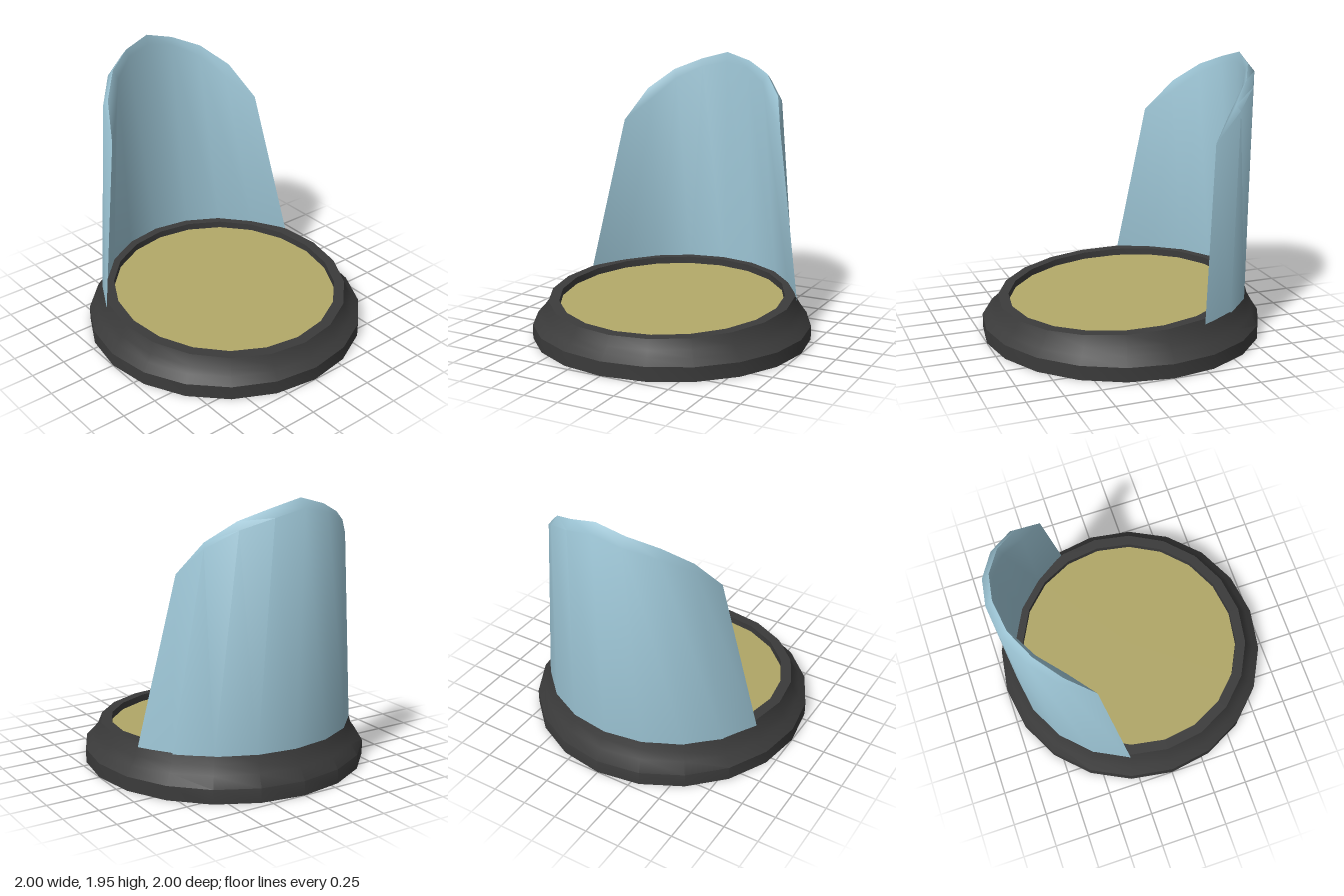
import * as THREE from 'three';
import { toCreasedNormals } from 'three/addons/utils/BufferGeometryUtils.js';

const SIDES = 20;
const SLOPE = 0.06;

// Tilts everything above the foot so that the rear stands higher than the front
function tilt(geometry, from, to) {
  const p = geometry.attributes.position;
  for (let i = 0; i < p.count; i++) {
    const t = THREE.MathUtils.clamp((p.getY(i) - from) / (to - from), 0, 1);
    p.setY(i, p.getY(i) - SLOPE * t * p.getZ(i));
  }
  geometry.computeVertexNormals();
  return geometry;
}

function makeMesh(name, geometry, color) {
  const mesh = new THREE.Mesh(geometry, new THREE.MeshStandardMaterial({ color }));
  mesh.name = name;
  return mesh;
}

// Curved shield: each column runs up the outside, over the ridge and down the inside
function shieldGeometry() {
  // Half columns from the middle of the back to the front edge: [x, y, z]
  const ridge = [[0, 1.95, -0.9], [0.2, 1.895, -0.87], [0.385, 1.815, -0.77], [0.535, 1.675, -0.62], [0.635, 1.45, -0.435]];
  const outer = [[0, 1.89, -0.95], [0.205, 1.84, -0.92], [0.4, 1.765, -0.815], [0.555, 1.64, -0.65], [0.635, 1.45, -0.435]];
  const inner = [[0, 1.88, -0.89], [0.19, 1.84, -0.855], [0.36, 1.75, -0.745], [0.49, 1.6, -0.59], [0.635, 1.45, -0.435]];
  const foot = (k, r, y) => {
    const a = k * Math.PI / 10;
    const z = -r * Math.cos(a);
    return [r * Math.sin(a), y - 0.05 * z, z];
  };
  const positions = [], index = [];
  const rows = 5;
  for (let i = -4; i <= 4; i++) {
    const k = Math.abs(i), s = Math.sign(i);
    const column = [foot(k, 0.9, 0.231), outer[k], ridge[k], inner[k], foot(k, k === 4 ? 0.9 : 0.865, 0.231)];
    for (const [x, y, z] of column) positions.push(s * x, y, z);
  }
  for (let i = 0; i < 8; i++) {
    for (let j = 0; j < rows; j++) {
      const n = (j + 1) % rows;
      const a = i * rows + j, d = i * rows + n;
      const b = a + rows, c = d + rows;
      index.push(a, d, c, a, c, b);
    }
  }
  const geometry = new THREE.BufferGeometry();
  geometry.setAttribute('position', new THREE.Float32BufferAttribute(positions, 3));
  geometry.setIndex(index);
  return toCreasedNormals(geometry, 0.9);
}

export function createModel() {
  const model = new THREE.Group();
  model.name = 'shieldedStand';

  // Round base with flared foot, tilted rim and recessed inner wall
  const profile = [
    [0, 0], [1, 0], [1, 0.1], [0.95, 0.16], [0.915, 0.21],
    [0.885, 0.298], [0.81, 0.298], [0.81, 0.235],
  ].map(([r, y]) => new THREE.Vector2(r, y));
  const base = new THREE.LatheGeometry(profile, SIDES);
  // The inner wall tilts fully, like the rim above it
  const p = base.attributes.position;
  tilt(base, 0.1, 0.298);
  for (let i = profile.length - 1; i < p.count; i += profile.length) {
    p.setY(i, 0.235 - SLOPE * p.getZ(i));
  }
  model.add(makeMesh('base', toCreasedNormals(base, 0.6), 0x3b3b3b));

  // Recessed disc inside the rim
  const disc = new THREE.CircleGeometry(0.81, SIDES).rotateX(-Math.PI / 2).translate(0, 0.248, 0);
  model.add(makeMesh('disc', tilt(disc, 0, 0.2), 0xb2a868));

  // Tall curved shield around the back
  model.add(makeMesh('shield', shieldGeometry(), 0x9bc3d3));

  return model;
}
